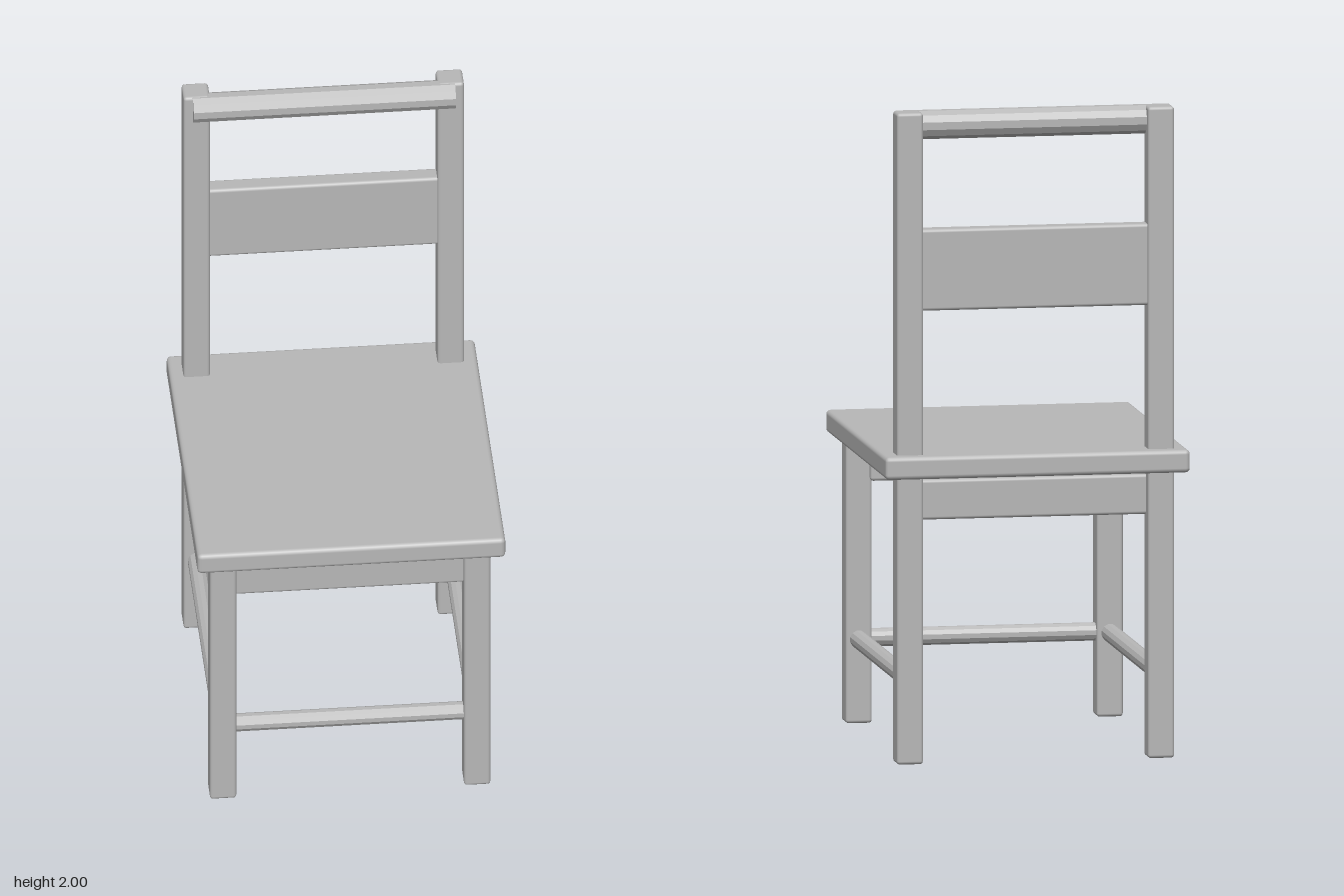
import * as THREE from 'three';
import { RoundedBoxGeometry } from 'three/addons/geometries/RoundedBoxGeometry.js';

export function createModel() {
  const chair = new THREE.Group();
  chair.name = 'chair';
  const grey = new THREE.MeshStandardMaterial({ color: 0xb8b8b8 });
  grey.name = 'plain grey';
  // same grey, faceted for the round bars
  const facetedBar = (r, length) => new THREE.CylinderGeometry(r, r, length, 12).toNonIndexed();

  function add(name, geometry, x, y, z) {
    const mesh = new THREE.Mesh(geometry, grey);
    mesh.name = name;
    mesh.position.set(x, y, z);
    chair.add(mesh);
    return mesh;
  }

  // softly rounded plank given by its limits on each axis
  function plank(name, [x0, x1], [y0, y1], [z0, z1], radius = 0.01) {
    const g = new RoundedBoxGeometry(x1 - x0, y1 - y0, z1 - z0, 2, radius);
    return add(name, g, (x0 + x1) / 2, (y0 + y1) / 2, (z0 + z1) / 2);
  }

  // faceted bar along x or z
  function bar(name, axis, r, length, x, y, z) {
    const g = facetedBar(r, length);
    g.rotateY(Math.PI / 12);
    if (axis === 'x') g.rotateZ(Math.PI / 2);
    else g.rotateX(Math.PI / 2);
    g.computeVertexNormals();
    return add(name, g, x, y, z);
  }

  plank('seat', [-0.47, 0.47], [0.88, 0.95], [-0.52, 0.52], 0.014);

  // legs and side rungs, mirrored
  for (const [side, s] of [['left', 1], ['right', -1]]) {
    const span = s > 0 ? [0.347, 0.428] : [-0.428, -0.347];
    plank(side + 'BackPost', span, [0, 2], [-0.48, -0.4]);
    plank(side + 'FrontLeg', span, [0, 0.89], [0.4, 0.48]);
    bar(side + 'Rung', 'z', 0.028, 0.82, s * 0.388, 0.258, 0);
  }
  bar('frontRung', 'x', 0.028, 0.72, 0, 0.258, 0.44);

  // aprons under the seat
  plank('frontApron', [-0.355, 0.355], [0.745, 0.868], [0.383, 0.45]);
  plank('backApron', [-0.355, 0.355], [0.745, 0.868], [-0.443, -0.376]);

  // backrest
  plank('backSlat', [-0.355, 0.355], [1.39, 1.64], [-0.467, -0.41]);
  bar('topRail', 'x', 0.045, 0.8, 0, 1.955, -0.411);

  return chair;
}
